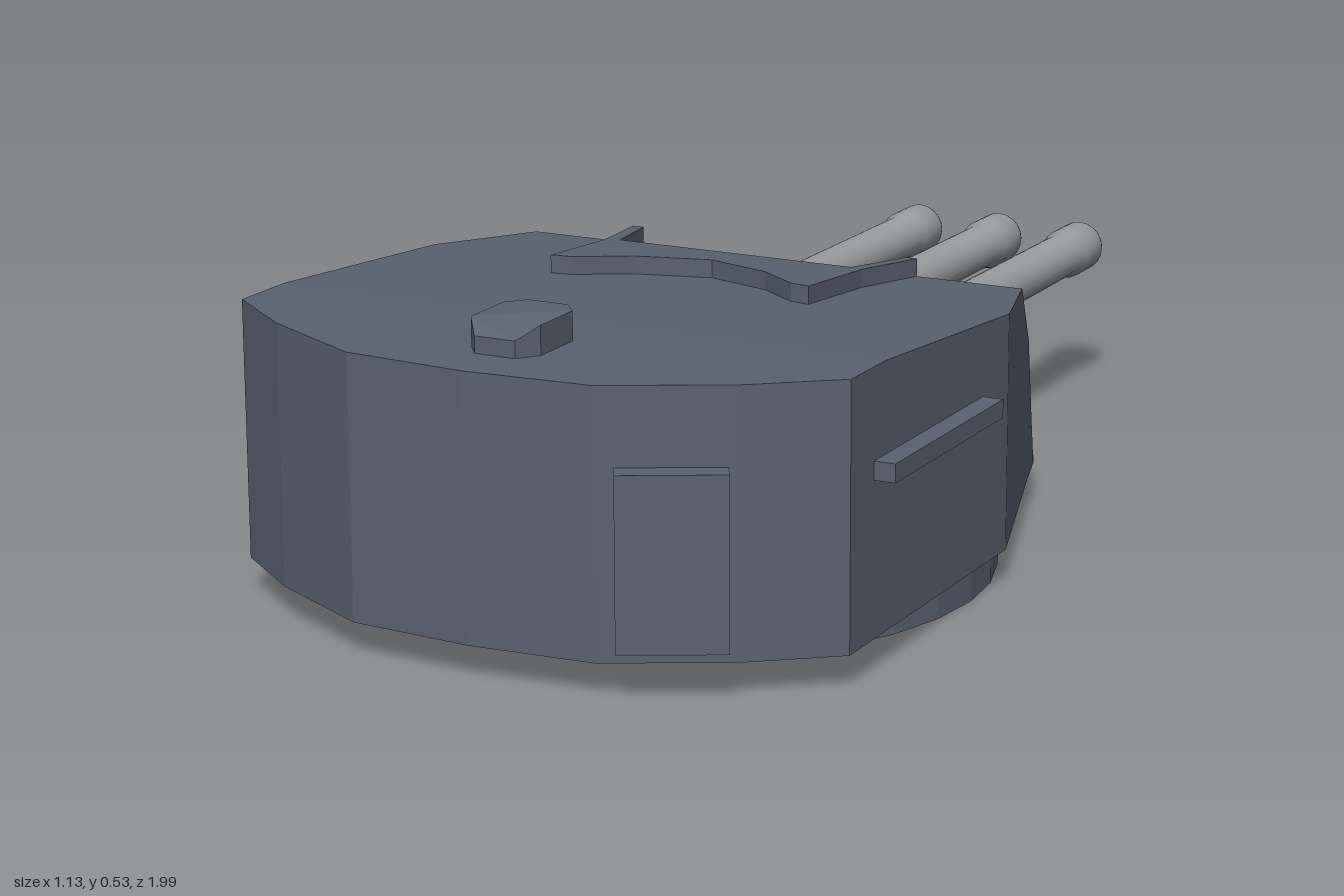
import * as THREE from 'three';
import { toCreasedNormals } from 'three/addons/utils/BufferGeometryUtils.js';

const material = (name, color) => {
  const m = new THREE.MeshStandardMaterial({ color });
  m.name = name;
  return m;
};

// Roof height along z, flat at the rear and falling towards the guns
const roofY = z => 0.48 - Math.max(0, 0.65 - z) * 0.0735;

// Flat plan polygon of [x, z] points, raised by height
function planPrism(points, height) {
  const shape = new THREE.Shape(points.map(([x, z]) => new THREE.Vector2(x, -z)));
  const g = new THREE.ExtrudeGeometry(shape, { depth: height, bevelEnabled: false });
  return g.rotateX(-Math.PI / 2);
}

// Adds the mirrored half of a right-hand list of [x, z] points
const mirrored = half => [...half, ...half.map(([x, z]) => [-x, z]).reverse()];

// Move vertices by a rule, then refresh flat normals
function reshape(g, rule) {
  const p = g.attributes.position;
  for (let i = 0; i < p.count; i++) p.setY(i, rule(p.getX(i), p.getY(i), p.getZ(i)));
  g.computeVertexNormals();
  return g;
}

// Sheet swept across x from a side profile of [z, y], running rear to front
function sheet(profile, w) {
  const v = [];
  for (let i = 0; i + 1 < profile.length; i++) {
    const [z0, y0] = profile[i], [z1, y1] = profile[i + 1];
    const a = [-w, y0, z0], b = [w, y0, z0], c = [w, y1, z1], d = [-w, y1, z1];
    v.push(...a, ...b, ...c, ...a, ...c, ...d);
  }
  const g = new THREE.BufferGeometry();
  g.setAttribute('position', new THREE.Float32BufferAttribute(v, 3));
  g.computeVertexNormals();
  return g;
}

function hullGeometry() {
  // Stations from rear to front: z, half width, top height, half width of gun port
  const st = [
    [0.985, 0, 0.48, 0], [0.97, 0.21, 0.48, 0], [0.87, 0.40, 0.48, 0],
    [0.77, 0.53, 0.48, 0], [0.65, 0.53, 0.48, 0], [0.19, 0.53, 0.446, 0],
    [0.11, 0.504, 0.44, 0.22], [-0.03, 0.458, 0.43, 0.235],
    [-0.17, 0.412, 0.305, 0.235], [-0.24, 0.39, 0.149, 0.13], [-0.285, 0.376, 0.055, 0],
  ];
  const base = 0.055, v = [];
  for (const s of [1, -1]) {
    const quad = (...q) => {
      const [a, b, c, d] = (s > 0 ? q : q.reverse()).map(([x, y, z]) => [s * x, y, z]);
      v.push(...a, ...b, ...c, ...a, ...c, ...d);
    };
    for (let i = 0; i + 1 < st.length; i++) {
      const [z0, w0, y0, p0] = st[i], [z1, w1, y1, p1] = st[i + 1];
      const port = p0 > 0 && p1 > 0;
      const n0 = port ? p0 : 0, n1 = port ? p1 : 0;
      quad([n0, y0, z0], [w0, y0, z0], [w1, y1, z1], [n1, y1, z1]);
      quad([w0, base, z0], [w1, base, z1], [w1, y1, z1], [w0, y0, z0]);
      quad([0, base, z1], [w1, base, z1], [w0, base, z0], [0, base, z0]);
      if (port) quad([n1, 0.14, z1], [n0, 0.14, z0], [n0, y0, z0], [n1, y1, z1]);
    }
  }
  const g = new THREE.BufferGeometry();
  g.setAttribute('position', new THREE.Float32BufferAttribute(v, 3));
  g.computeVertexNormals();
  return g;
}

export function createModel() {
  const group = new THREE.Group();
  const slate = material('slate armour', 0x5a6270);
  const steel = material('gun steel', 0x999c9e);
  const black = material('black canvas', 0x111111);
  const add = (name, geometry, mat, x = 0, y = 0, z = 0) => {
    const m = new THREE.Mesh(geometry, mat);
    m.name = name;
    m.position.set(x, y, z);
    group.add(m);
    return m;
  };

  // Armoured house and its turning ring
  add('turretHull', hullGeometry(), slate);
  add('frontLip', planPrism([[0.38, -0.27], [0.37, -0.3], [-0.37, -0.3], [-0.38, -0.27]], 0.009), slate, 0, 0.055);
  const ring = new THREE.CylinderGeometry(0.52, 0.52, 0.056, 32).toNonIndexed();
  ring.computeVertexNormals();
  add('turretRing', ring, slate, 0, 0.028, 0.305);

  // Gun port lining and floor
  add('gunPortLining', sheet([[0.11, 0.44], [0.07, 0.39], [0.035, 0.31], [0, 0.2]], 0.235), black);
  add('gunPortFloor', sheet([[0, 0.2], [-0.24, 0.147]], 0.235), slate);

  // Curved ribs between the guns
  const rib = new THREE.Shape([
    [-0.115, 0.44], [-0.06, 0.435], [-0.01, 0.405], [0.02, 0.36], [0.035, 0.29],
    [0.035, 0.17], [0, 0.17], [-0.03, 0.3],
  ].map(p => new THREE.Vector2(...p)));
  for (const x of [-0.082, 0.082]) {
    const g = new THREE.ExtrudeGeometry(rib, { depth: 0.034, bevelEnabled: false });
    add('gunPortRib', g.translate(0, 0, -0.017).rotateY(Math.PI / 2), slate, x);
  }

  // Three guns with sleeves, muzzle collars and open bores
  const barrel = toCreasedNormals(new THREE.LatheGeometry([
    [0, -0.03], [0.047, -0.03], [0.047, 0.165], [0.042, 0.18], [0.04, 0.9], [0.046, 0.92],
    [0.046, 0.992], [0.043, 1], [0.031, 1], [0.029, 0.9], [0, 0.9],
  ].map(p => new THREE.Vector2(...p)), 20), 0.6).rotateX(-Math.PI / 2);
  for (const x of [-0.165, 0, 0.165]) add('gunBarrel', barrel, steel, x, 0.267, 0);

  // Raised visor around the gun port
  const visor = planPrism(mirrored([
    [0.12, 0.235], [0.2, 0.303], [0.235, 0.31], [0.238, 0.12],
    [0.268, -0.03], [0.247, -0.03], [0.215, 0.11],
  ]).concat([[0, 0.19]]), 0.032);
  add('gunPortVisor', reshape(visor, (x, y, z) => y + roofY(z) - 0.002), slate);

  // Roof sight with sloping rear and dark viewing slot
  const sight = planPrism(mirrored([[0.035, 0.73], [0.06, 0.76], [0.06, 0.857], [0.035, 0.89]]), 0.047);
  add('roofSight', reshape(sight, (x, y, z) => (y > 0.01 && z > 0.88 ? 0.027 : y)), slate, 0, 0.48);
  add('sightSlot', new THREE.BoxGeometry(0.045, 0.02, 0.006), black, 0, 0.505, 0.729);

  // Side rails
  for (const s of [1, -1]) {
    add('sideRail', new THREE.BoxGeometry(0.045, 0.03, 0.4), slate, s * 0.5425, 0.32, 0.49);
  }

  // Rear access door
  const door = add('rearDoor', new THREE.BoxGeometry(0.168, 0.275, 0.04), slate, 0.32, 0.218, 0.934);
  door.rotation.y = 0.49;

  return group;
}
